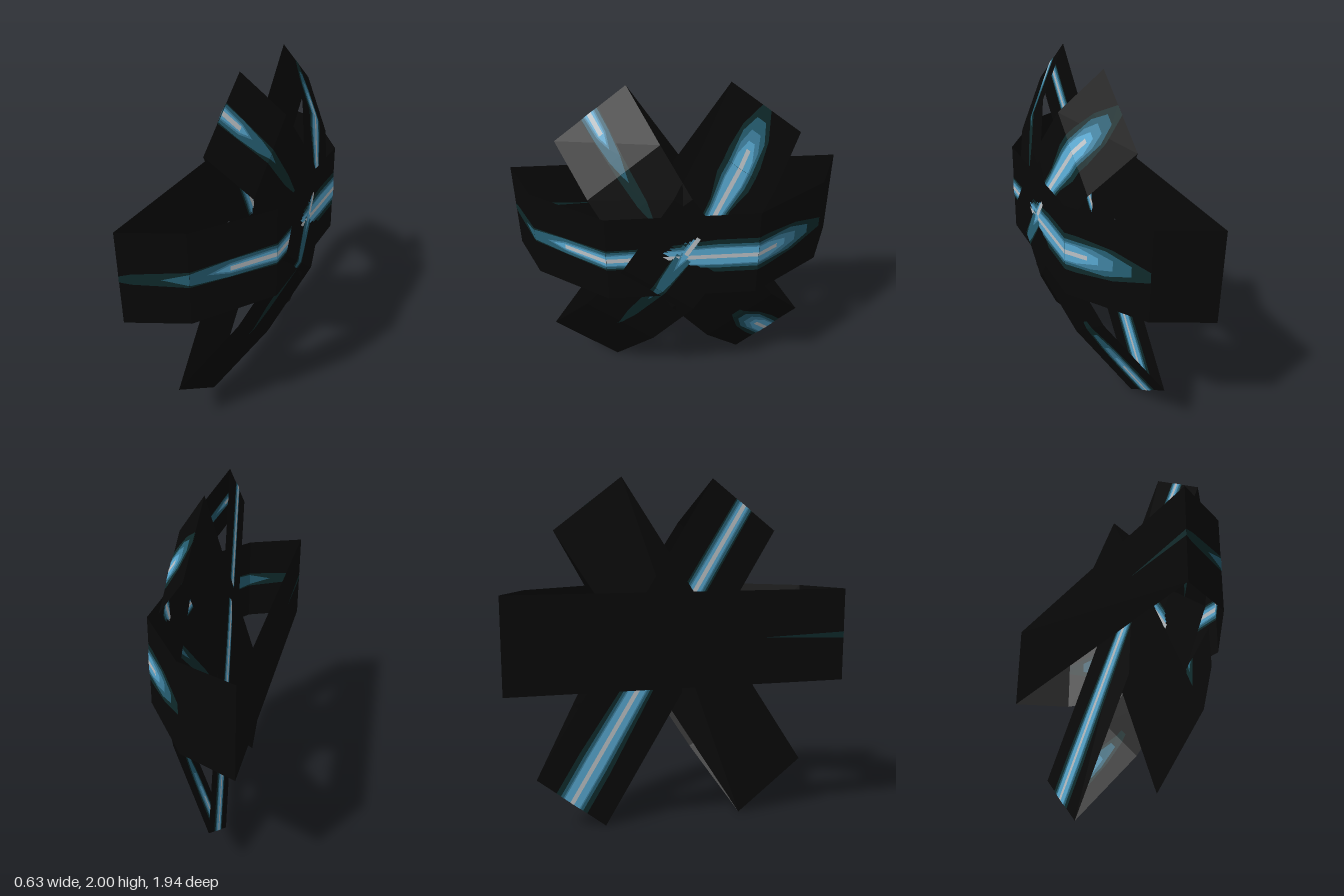
import * as THREE from 'three';

const mat = (name, color) => {
  const m = new THREE.MeshStandardMaterial({ color, side: THREE.DoubleSide });
  m.name = name;
  return m;
};

// Each section: [x, y, z, half width in y, half width in z]; the last joins the first as a straight back.
const level = [
  [-0.31, -0.97], [0.01, -0.83], [0.3, -0.42], [0.3, 0.42], [0.01, 0.83], [-0.31, 0.97],
].map(([x, z]) => [x, 1.105, z, 0.267, 0]);

const diagonal = (mid, low, side) => [
  [0.02, 1.85, -0.465, 0.15, 0.195],
  [0.205, 1.595, -0.305, 0.155, 0.195],
  [0.29, 1.315, -0.145, 0.155, 0.195],
  [mid, 0.895, 0.135, 0.155, 0.195],
  [0.135, 0.515, 0.365, 0.155, 0.195],
  [low, 0.155, 0.605, 0.155, 0.195],
].map(([x, y, z, hy, hz]) => [x, y, z * side, hy, hz * side]);

// Streak outlines, outer to inner: [position along the streak, half width]
const streaks = [
  ['darkTealStreak', [[0, 0.03], [0.1, 0.09], [0.2, 0.11], [0.3, 0.11], [0.4, 0.07], [0.7, 0.045], [0.9, 0.03], [1, 0]]],
  ['tealStreak', [[0.05, 0.03], [0.12, 0.075], [0.3, 0.08], [0.42, 0.055], [0.6, 0.05], [0.7, 0.035], [0.8, 0]]],
  ['blueStreak', [[0.1, 0.03], [0.16, 0.06], [0.3, 0.062], [0.45, 0.04], [0.6, 0.03], [0.66, 0]]],
  ['lightBlueStreak', [[0.14, 0.02], [0.2, 0.05], [0.3, 0.055], [0.42, 0.035], [0.6, 0.02], [0.64, 0]]],
  ['whiteStreak', [[0.17, 0.013], [0.6, 0.013]]],
];

// Linear lookup in a list of [position, value]
function lookup(keys, t) {
  for (let i = 1; i < keys.length; i++) {
    const [a, va] = keys[i - 1], [b, vb] = keys[i];
    if (t <= b) return va + (vb - va) * Math.max(0, (t - a) / (b - a));
  }
  return keys[keys.length - 1][1];
}

function meshFrom(name, positions, material) {
  const g = new THREE.BufferGeometry();
  g.setAttribute('position', new THREE.Float32BufferAttribute(positions, 3));
  g.computeVertexNormals();
  const mesh = new THREE.Mesh(g, material);
  mesh.name = name;
  return mesh;
}

function quad(out, a, b, c, d) {
  for (const p of [a, b, c, a, c, d]) out.push(p.x, p.y, p.z);
}

// Centre and half-width vector at a place within one panel of the loop
function sample(sections, panel, f) {
  const n = sections.length;
  const a = sections[panel % n], b = sections[(panel + 1) % n];
  const v = a.map((q, i) => q + (b[i] - q) * f);
  return { c: new THREE.Vector3(v[0], v[1], v[2]), h: new THREE.Vector3(0, v[3], v[4]) };
}

function band(name, sections, start, end, mats) {
  const group = new THREE.Group();
  group.name = name;

  // Closed, sheet-thin loop
  const base = [];
  for (let i = 0; i < sections.length; i++) {
    const p = sample(sections, i, 0), q = sample(sections, i, 1);
    quad(base, p.c.clone().sub(p.h), q.c.clone().sub(q.h), q.c.clone().add(q.h), p.c.clone().add(p.h));
  }
  group.add(meshFrom(name + 'Sheet', base, mats.black));

  // Painted streak on both faces, split where the loop bends
  streaks.forEach(([label, keys], layer) => {
    const out = [];
    const toU = (t) => start + (end - start) * t;
    const first = toU(keys[0][0]), last = toU(keys[keys.length - 1][0]);
    const stops = keys.map((k) => toU(k[0]));
    for (let u = Math.ceil(first); u < last; u++) stops.push(u);
    stops.sort((a, b) => a - b);
    for (let i = 1; i < stops.length; i++) {
      const u0 = stops[i - 1], u1 = stops[i];
      if (u1 - u0 < 1e-6) continue;
      const panel = Math.floor((u0 + u1) / 2);
      const p = sample(sections, panel, u0 - panel), q = sample(sections, panel, u1 - panel);
      const normal = q.c.clone().sub(p.c).cross(p.h).normalize();
      const w0 = lookup(keys, (u0 - start) / (end - start));
      const w1 = lookup(keys, (u1 - start) / (end - start));
      for (const s of [1, -1]) {
        const lift = normal.clone().multiplyScalar(s * 0.001 * (layer + 1));
        const at = (e, w) => e.c.clone().addScaledVector(e.h.clone().normalize(), w * s).add(lift);
        quad(out, at(p, -w0), at(q, -w1), at(q, w1), at(p, w0));
      }
    }
    group.add(meshFrom(label, out, mats[label]));
  });
  return group;
}

export function createModel() {
  const mats = {
    black: mat('black', 0x080808),
    darkTealStreak: mat('darkTeal', 0x0f2a2b),
    tealStreak: mat('teal', 0x265f73),
    blueStreak: mat('blue', 0x4083a2),
    lightBlueStreak: mat('lightBlue', 0x58a8d0),
    whiteStreak: mat('paleGrey', 0xbcc2c6),
  };
  const model = new THREE.Group();
  model.name = 'crossedBands';
  model.add(
    band('levelBand', level, 1.0, 5.25, mats),
    band('firstDiagonalBand', diagonal(0.314, -0.12, 1), 0.0, 4.1, mats),
    band('secondDiagonalBand', diagonal(0.294, -0.13, -1), 3.9, 8.0, mats),
  );
  return model;
}
